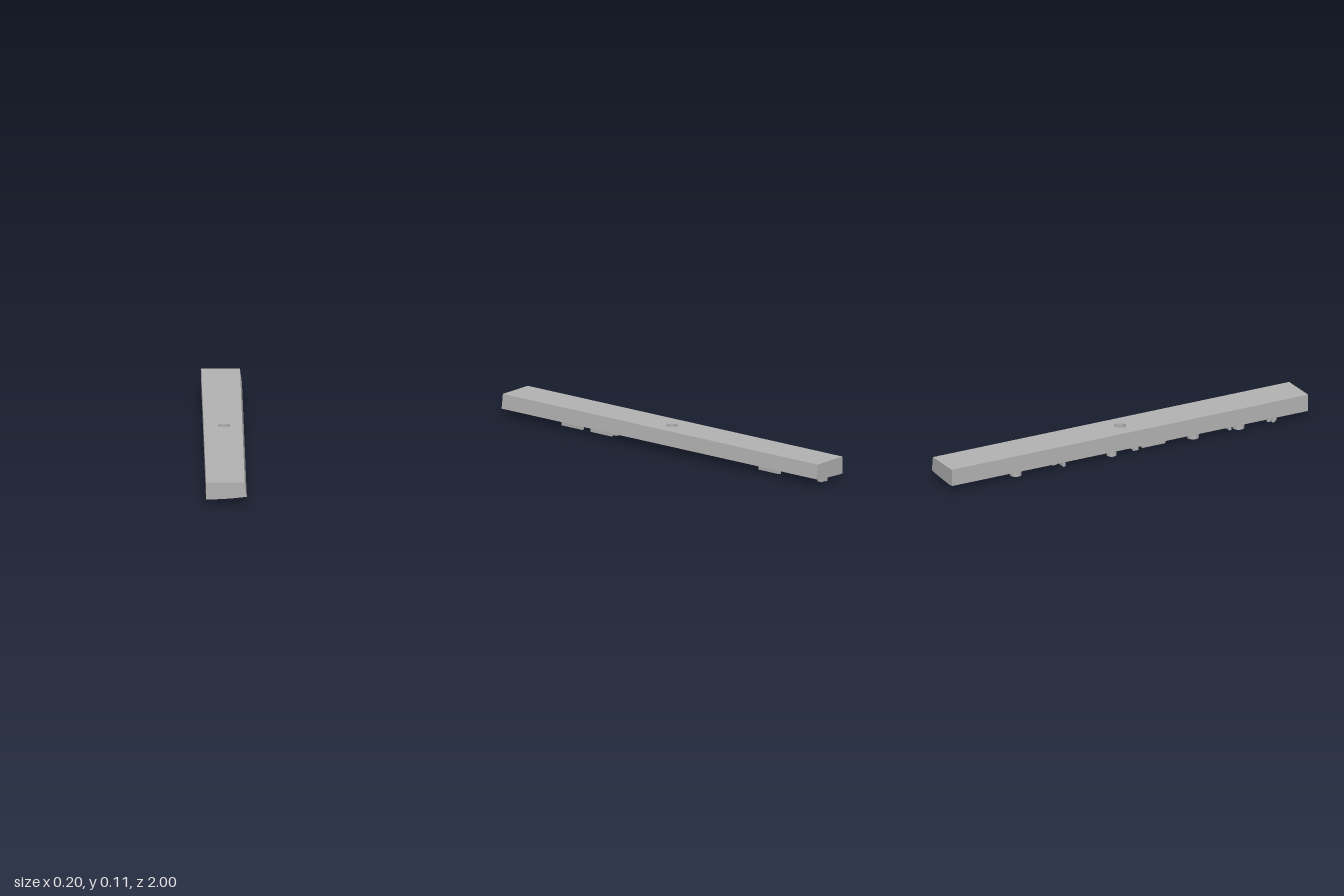
import * as THREE from 'three';
import { toCreasedNormals } from 'three/addons/utils/BufferGeometryUtils.js';

const TOP = 0.115, DEPTH = 0.029, HOLE = 0.03;

// height of the gently curved underside
const underside = (x) => 0.029 + 0.013 * ((x + 0.1) / 0.2) ** 2;

// bar with a bored hole: closed loops run hole -> underside -> sides -> top -> hole
function barGeometry() {
  const n = 12, count = 4 * n, rings = [[], [], [], [], []];
  for (let side = 0; side < 4; side++) {
    for (let k = 0; k < n; k++) {
      let sx = 1, sz = -1 + (2 * k) / n;
      for (let q = 0; q < side; q++) [sx, sz] = [-sz, sx];
      const a = (side - 0.5 + k / n) * Math.PI / 2;
      const hx = HOLE * Math.cos(a), hz = HOLE * Math.sin(a);
      const ox = 0.1 * sx;
      const mx = (hx + ox) / 2, mz = (hz + sz) / 2;
      rings[0].push([hx, underside(hx), hz]);
      rings[1].push([mx, underside(mx), mz]);
      rings[2].push([ox, underside(ox), sz]);
      rings[3].push([sx > 0 ? 0.09 * sx : ox, TOP, sz]);
      rings[4].push([hx, TOP, hz]);
    }
  }
  const index = [];
  for (let r = 0; r < 5; r++) {
    for (let j = 0; j < count; j++) {
      const r2 = (r + 1) % 5, j2 = (j + 1) % count;
      const a = r * count + j, b = r2 * count + j, c = r2 * count + j2, d = r * count + j2;
      index.push(a, b, c, a, c, d);
    }
  }
  const g = new THREE.BufferGeometry();
  g.setAttribute('position', new THREE.Float32BufferAttribute(rings.flat(2), 3));
  g.setIndex(index);
  return toCreasedNormals(g, 0.5);
}

// make a relief piece follow the curved underside
function hang(g) {
  const p = g.attributes.position;
  for (let i = 0; i < p.count; i++) {
    const y = underside(p.getX(i));
    p.setY(i, p.getY(i) > 0 ? y + 0.003 : y - DEPTH);
  }
  return toCreasedNormals(g, 0.6);
}

// straight rib between two plan points
function ribGeometry(x1, z1, x2, z2, width) {
  const dx = x2 - x1, dz = z2 - z1;
  const g = new THREE.BoxGeometry(width, 1, Math.hypot(dx, dz));
  g.rotateY(Math.atan2(dx, dz));
  g.translate((x1 + x2) / 2, 0, (z1 + z2) / 2);
  return hang(g);
}

function ringGeometry(x, z, radius) {
  const s = new THREE.Shape().absarc(0, 0, radius, 0, Math.PI * 2);
  s.holes.push(new THREE.Path().absarc(0, 0, radius * 0.62, 0, Math.PI * 2, true));
  const g = new THREE.ExtrudeGeometry(s, { depth: 1, bevelEnabled: false, curveSegments: 12 });
  g.translate(0, 0, -0.5).rotateX(-Math.PI / 2).translate(x, 0, z);
  return hang(g);
}

export function createModel() {
  const group = new THREE.Group();
  const grey = new THREE.MeshStandardMaterial({ color: 0xb2b2b2 });
  grey.name = 'plain grey';
  const add = (name, geometry) => {
    const mesh = new THREE.Mesh(geometry, grey);
    mesh.name = name;
    group.add(mesh);
  };

  add('bar', barGeometry());

  // long ribs along the underside: x1, z1, x2, z2
  const ribs = [
    [0.042, 0.53, 0.042, 0.66], [0.042, 0.345, 0.042, 0.475],
    [-0.055, 0.09, -0.055, 0.22], [-0.03, -0.22, -0.03, -0.06],
    [-0.02, -0.34, -0.045, -0.405], [0.042, -0.72, 0.042, -0.59],
  ];
  for (const r of ribs) add('longRib', ribGeometry(...r, 0.016));

  // short cross ribs
  const crossRibs = [
    [0.022, 0.575, -0.07, 0.58], [0.018, 0.345, -0.025, 0.345],
    [0.01, -0.66, -0.035, -0.66], [-0.03, -0.36, -0.085, -0.36],
    [-0.045, 0.815, -0.085, 0.815], [-0.062, 0.79, -0.062, 0.84],
  ];
  for (const r of crossRibs) add('crossRib', ribGeometry(...r, 0.014));

  // paired and single rings
  for (const z of [0.63, 0.375, -0.62]) {
    add('ring', ringGeometry(-0.006, z, 0.029));
    add('ring', ringGeometry(-0.061, z, 0.029));
  }
  add('ring', ringGeometry(-0.066, -0.085, 0.025));

  // small post pairs
  for (const [x, z] of [[-0.04, 0.048], [-0.068, 0.048], [0.015, -0.955], [-0.015, -0.955]]) {
    add('post', ribGeometry(x, z - 0.014, x, z + 0.014, 0.014));
  }
  return group;
}
